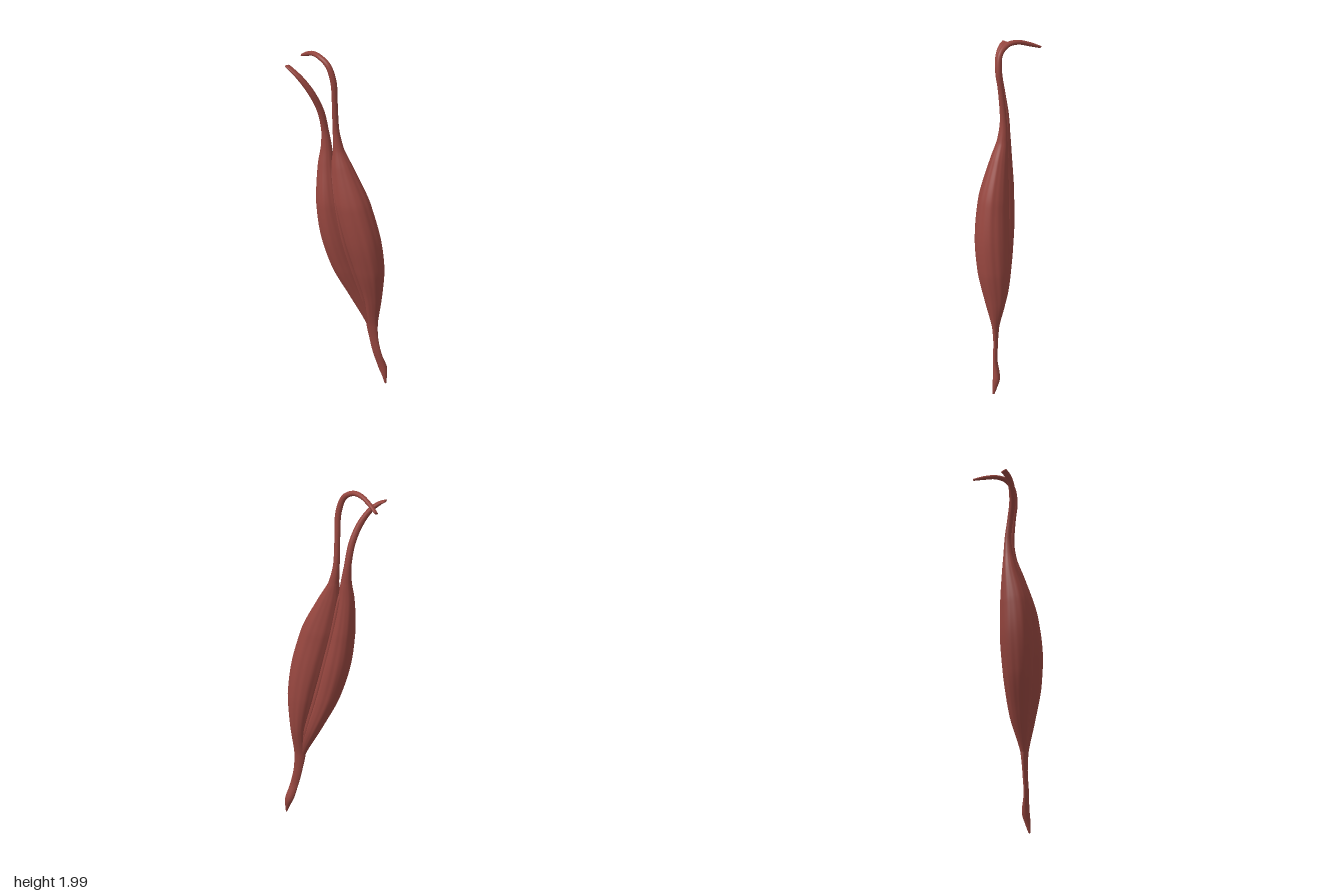
import * as THREE from 'three';

const SIDES = 64;
const STEPS = 10; // rings between two stations

// Lofted strand. Each station is [x, y, z, half width, half depth], bottom to top.
function strand(name, stations, material, ridge, phase) {
  const path = new THREE.CatmullRomCurve3(stations.map(s => new THREE.Vector3(s[0], s[1], s[2])));
  const size = new THREE.CatmullRomCurve3(stations.map(s => new THREE.Vector3(s[3], s[4], 0)));
  const rings = (stations.length - 1) * STEPS;
  const pos = [], index = [];
  const A = new THREE.Vector3(), B = new THREE.Vector3(), p = new THREE.Vector3();

  for (let i = 0; i <= rings; i++) {
    const t = i / rings;
    const c = path.getPoint(t), r = size.getPoint(t), T = path.getTangent(t);
    // bellies keep level sections, tendons turn with the path
    if (c.y < 1.5) T.set(T.x * 0.1, 1, T.z * 0.1).normalize();
    B.set(0, 0, 1).addScaledVector(T, -T.z).normalize();
    A.crossVectors(T, B);
    const fleshy = ridge * Math.min(1, r.x / 0.06);
    for (let j = 0; j < SIDES; j++) {
      const a = (j / SIDES) * Math.PI * 2;
      // fibres run lengthwise and wander a little
      const fibre = 1 + fleshy * (Math.sin(7 * a + phase + 3 * t)
        + 0.6 * Math.sin(15 * a + phase * 2 - 4 * t + Math.sin(9 * t)));
      p.copy(c)
        .addScaledVector(A, r.x * fibre * Math.cos(a))
        .addScaledVector(B, r.y * fibre * Math.sin(a));
      pos.push(p.x, Math.max(0, p.y), p.z);
    }
  }
  for (let i = 0; i < rings; i++) {
    for (let j = 0; j < SIDES; j++) {
      const k = (j + 1) % SIDES;
      const a = i * SIDES + j, b = i * SIDES + k;
      index.push(a, a + SIDES, b, b, a + SIDES, b + SIDES);
    }
  }
  // end caps
  const bottom = pos.length / 3, last = rings * SIDES;
  const first = path.getPoint(0), end = path.getPoint(1);
  pos.push(first.x, first.y, first.z, end.x, end.y, end.z);
  for (let j = 0; j < SIDES; j++) {
    const k = (j + 1) % SIDES;
    index.push(bottom, j, k, bottom + 1, last + k, last + j);
  }
  const geo = new THREE.BufferGeometry();
  geo.setAttribute('position', new THREE.Float32BufferAttribute(pos, 3));
  geo.setIndex(index);
  geo.computeVertexNormals();
  const mesh = new THREE.Mesh(geo, material);
  mesh.name = name;
  return mesh;
}

export function createModel() {
  const group = new THREE.Group();
  group.name = 'muscle';
  const flesh = new THREE.MeshStandardMaterial({ color: 0x94453e });
  flesh.name = 'muscle red';

  // outer belly with the lower tendon and the arched upper tendon
  group.add(strand('longHead', [
    [0.270, 0.005, 0.002, 0.005, 0.006],
    [0.262, 0.05, -0.004, 0.014, 0.014],
    [0.247, 0.11, -0.010, 0.026, 0.020],
    [0.218, 0.21, 0.004, 0.025, 0.012],
    [0.196, 0.31, 0.006, 0.026, 0.012],
    [0.183, 0.42, 0.008, 0.034, 0.019],
    [0.184, 0.60, 0.010, 0.053, 0.058],
    [0.163, 0.80, 0.027, 0.087, 0.086],
    [0.122, 1.00, 0.042, 0.104, 0.092],
    [0.068, 1.20, 0.044, 0.101, 0.080],
    [0.010, 1.40, 0.027, 0.058, 0.046],
    [-0.014, 1.50, 0.015, 0.027, 0.027],
    [-0.027, 1.60, 0.013, 0.017, 0.018],
    [-0.029, 1.75, 0.025, 0.015, 0.015],
    [-0.032, 1.87, 0.038, 0.016, 0.015],
    [-0.060, 1.95, 0.036, 0.015, 0.014],
    [-0.110, 1.982, 0.012, 0.013, 0.015],
    [-0.160, 1.982, -0.030, 0.012, 0.014],
    [-0.210, 1.958, -0.080, 0.011, 0.013],
    [-0.250, 1.932, -0.130, 0.006, 0.011],
  ], flesh, 0.016, 0.4));

  // inner belly with its short curved tendon
  group.add(strand('shortHead', [
    [0.180, 0.36, 0.006, 0.012, 0.008],
    [0.168, 0.43, 0.008, 0.024, 0.018],
    [0.106, 0.60, 0.010, 0.052, 0.053],
    [0.032, 0.80, 0.030, 0.076, 0.080],
    [-0.020, 1.00, 0.042, 0.082, 0.091],
    [-0.056, 1.20, 0.044, 0.070, 0.081],
    [-0.077, 1.40, 0.025, 0.045, 0.044],
    [-0.079, 1.50, 0.016, 0.029, 0.028],
    [-0.087, 1.60, 0.016, 0.019, 0.019],
    [-0.104, 1.71, 0.036, 0.018, 0.017],
    [-0.142, 1.81, 0.064, 0.017, 0.018],
    [-0.195, 1.885, 0.076, 0.014, 0.018],
    [-0.240, 1.922, 0.070, 0.010, 0.018],
    [-0.268, 1.937, 0.058, 0.005, 0.019],
  ], flesh, 0.016, 2.1));

  // thin flesh filling the cleft between the bellies
  group.add(strand('middleFibres', [
    [0.172, 0.45, 0.006, 0.012, 0.014],
    [0.140, 0.60, 0.010, 0.026, 0.046],
    [0.088, 0.80, 0.028, 0.034, 0.062],
    [0.038, 1.00, 0.042, 0.036, 0.070],
    [-0.006, 1.20, 0.042, 0.032, 0.062],
    [-0.042, 1.40, 0.022, 0.016, 0.030],
    [-0.052, 1.46, 0.016, 0.006, 0.010],
  ], flesh, 0.016, 1.2));

  return group;
}
